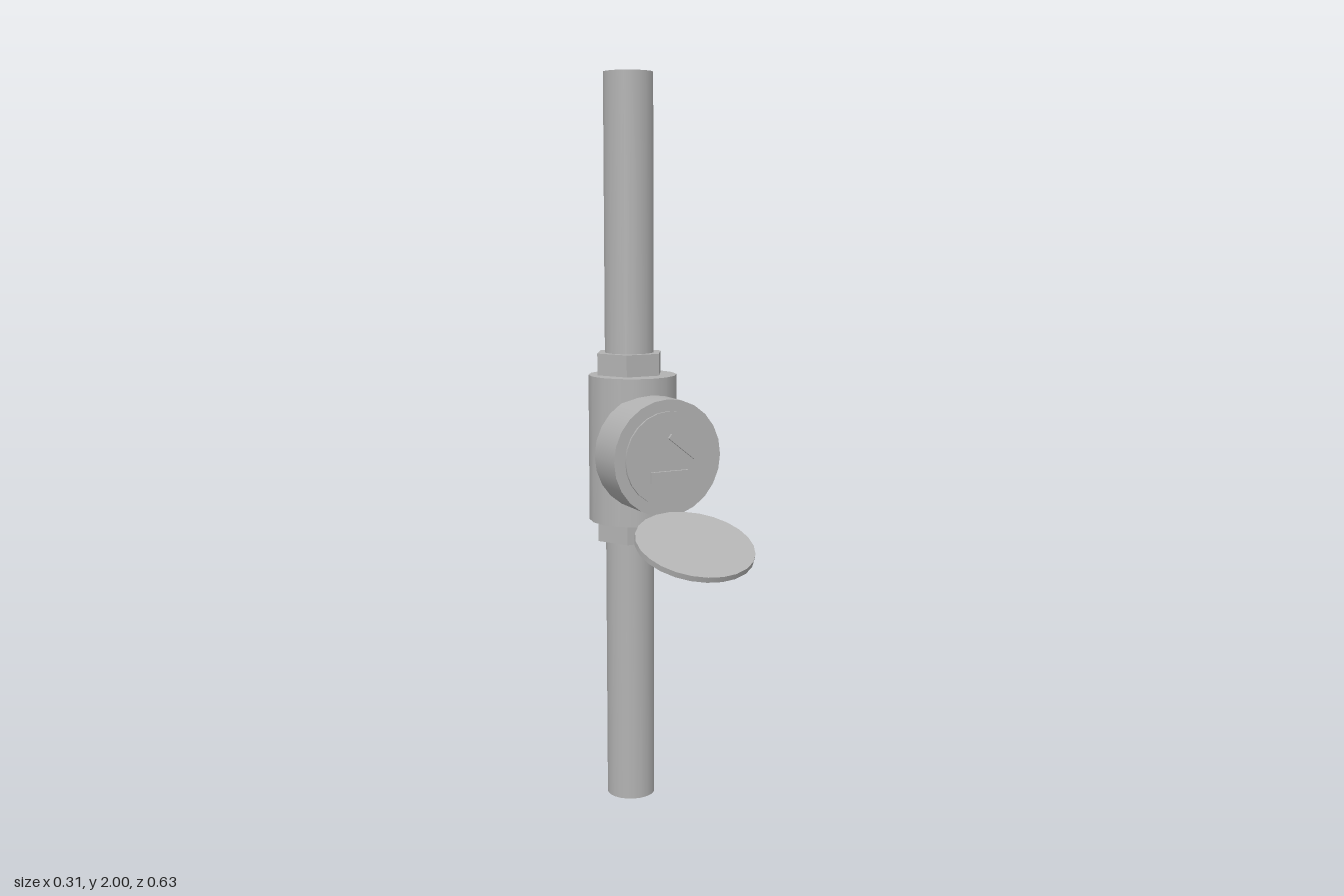
import * as THREE from 'three';

export function createModel() {
  const group = new THREE.Group();
  const metal = new THREE.MeshStandardMaterial({ color: 0xb2b2b2 });

  const add = (name, geometry, x, y, z, rx = 0, rz = 0) => {
    const mesh = new THREE.Mesh(geometry, metal);
    mesh.name = name;
    mesh.position.set(x, y, z);
    mesh.rotation.set(rx, 0, rz);
    group.add(mesh);
    return mesh;
  };
  const disc = (r, h, sides) => new THREE.CylinderGeometry(r, r, h, sides);

  // Vertical pipe, in two lengths that meet inside the body
  const pipeZ = -0.215;
  add('lowerPipe', disc(0.067, 1, 20), 0, 0.5, pipeZ);
  add('upperPipe', disc(0.067, 1, 20), 0, 1.5, pipeZ);

  // Meter body
  add('body', disc(0.12, 0.4, 16), 0, 1, -0.195);

  // Hexagonal nuts above and below the body, with crisp faces
  const nut = new THREE.CylinderGeometry(0.096, 0.096, 0.06, 6, 1, false, Math.PI / 2).toNonIndexed();
  nut.computeVertexNormals();
  for (const side of [-1, 1]) {
    add(side < 0 ? 'lowerNut' : 'upperNut', nut, 0, 1 + side * 0.229, pipeZ);
  }

  // Round dial housing and its raised face
  add('dialHousing', disc(0.156, 0.12, 24), 0, 1, -0.045, Math.PI / 2);
  add('dialFace', disc(0.125, 0.006, 24), 0, 1, 0.018, Math.PI / 2);

  // Pointer and counter window on the face
  add('pointer', new THREE.BoxGeometry(0.096, 0.014, 0.009), 0.038, 1.03, 0.0245, 0, -0.675);
  add('counter', new THREE.BoxGeometry(0.11, 0.03, 0.009), 0, 0.953, 0.0245);

  // Open lid, hanging forward from the bottom of the housing
  add('lid', disc(0.156, 0.015, 24), 0, 0.796, 0.164, 0.355);

  return group;
}
